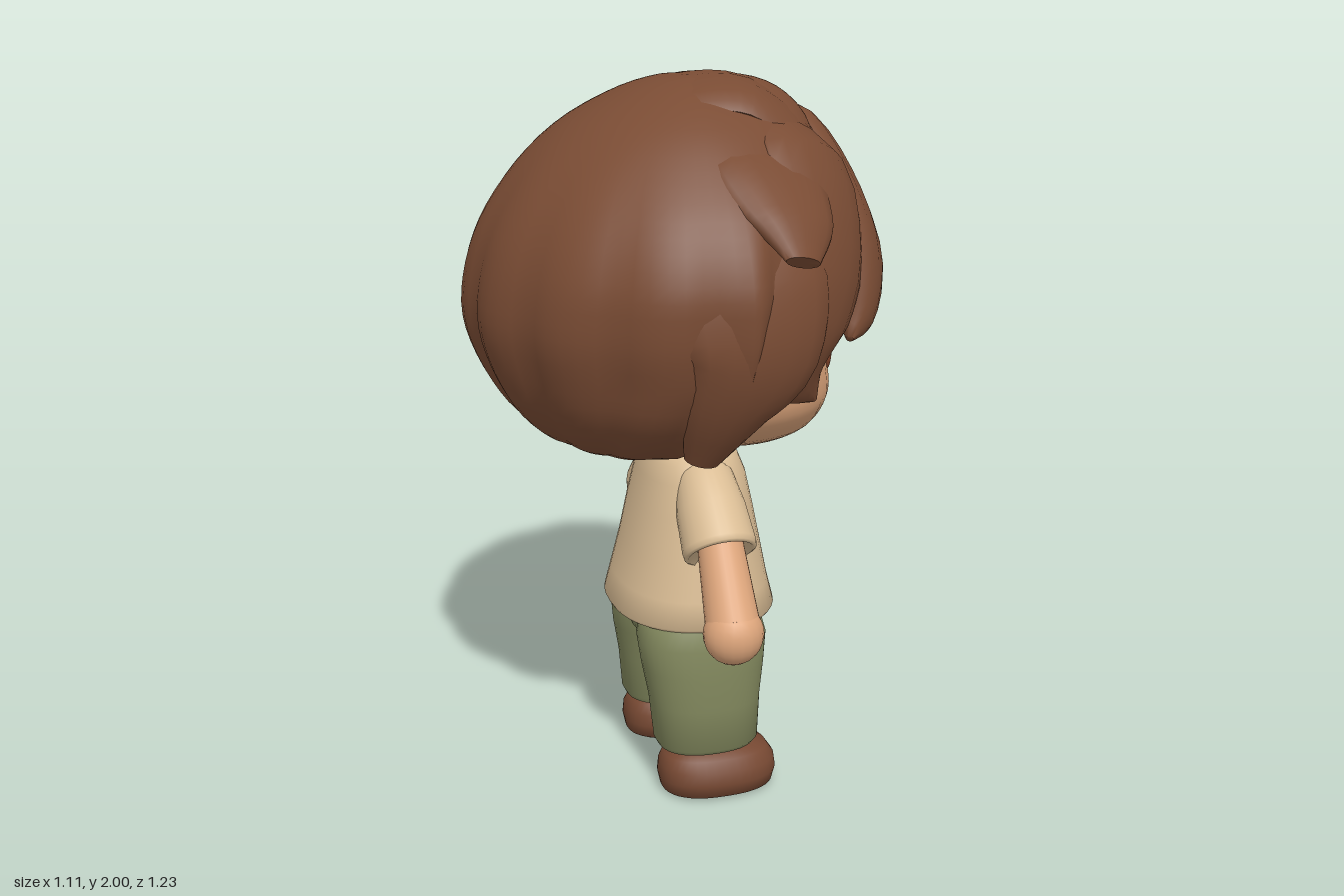
import * as THREE from 'three';
import { toCreasedNormals } from 'three/addons/utils/BufferGeometryUtils.js';

const mat = (name, color) => {
  const m = new THREE.MeshStandardMaterial({ color });
  m.name = name;
  return m;
};
const V = (x, y, z) => new THREE.Vector3(x, y, z);

// Closed skin over rings of points, each ring capped with a centre vertex at the ends
function skinRings(rings) {
  const n = rings[0].length, pos = [], idx = [];
  rings.forEach(r => r.forEach(p => pos.push(p.x, p.y, p.z)));
  for (let j = 0; j < rings.length - 1; j++) for (let i = 0; i < n; i++) {
    const a = j * n + i, b = j * n + (i + 1) % n;
    idx.push(a, a + n, b, b, a + n, b + n);
  }
  const last = (rings.length - 1) * n;
  [rings[0], rings[rings.length - 1]].forEach((r, end) => {
    const c = r.reduce((s, p) => s.add(p), V(0, 0, 0)).divideScalar(n);
    const k = pos.length / 3;
    pos.push(c.x, c.y, c.z);
    for (let i = 0; i < n; i++) {
      const q = (i + 1) % n;
      if (end) idx.push(k, last + q, last + i);
      else idx.push(k, i, q);
    }
  });
  const g = new THREE.BufferGeometry();
  g.setAttribute('position', new THREE.Float32BufferAttribute(pos, 3));
  g.setIndex(idx);
  return toCreasedNormals(g, 1.0);
}

// Upright form from rows [y, back x, front x, half width, z centre].
// power squares the section, mid places its widest line
function upright(rows, { n = 40, power = 2, ripple = () => 1, mid = (x0, x1) => (x0 + x1) / 2 } = {}) {
  const sq = v => Math.sign(v) * Math.abs(v) ** (2 / power);
  return skinRings(rows.map(([y, x0, x1, rz, cz = 0]) => Array.from({ length: n }, (_, i) => {
    const a = i / n * Math.PI * 2, k = ripple(a, y), m = mid(x0, x1), c = Math.cos(a);
    return V(m + (c > 0 ? x1 - m : m - x0) * sq(c) * k, y, cz + rz * sq(Math.sin(a)) * k);
  })));
}

// Smoothly resample rows for rounder forms
function smoothRows(rows, steps) {
  const a = new THREE.CatmullRomCurve3(rows.map(r => V(r[0], r[1], r[2])));
  const b = new THREE.CatmullRomCurve3(rows.map(r => V(r[3], 0, 0)));
  return Array.from({ length: steps + 1 }, (_, i) => {
    const p = a.getPoint(i / steps);
    return [p.x, p.y, p.z, b.getPoint(i / steps).x];
  });
}

// Flattened lock of hair from stations [x, y, z, half width, half thickness]
function lock(stations) {
  const path = new THREE.CatmullRomCurve3(stations.map(s => V(s[0], s[1], s[2])));
  const size = new THREE.CatmullRomCurve3(stations.map(s => V(s[3], s[4], 0)));
  const rings = [];
  for (let j = 0; j <= 16; j++) {
    const u = j / 16, p = path.getPoint(u), t = path.getTangent(u), s = size.getPoint(u);
    const out = p.clone().sub(V(0, 1.45, 0));
    out.addScaledVector(t, -out.dot(t)).normalize();
    const side = out.clone().cross(t);
    rings.push(Array.from({ length: 16 }, (_, i) => {
      const a = i / 16 * Math.PI * 2;
      return p.clone().addScaledVector(out, Math.cos(a) * s.y).addScaledVector(side, Math.sin(a) * s.x);
    }));
  }
  return skinRings(rings);
}

export function createModel() {
  const root = new THREE.Group();
  const hair = mat('hair brown', 0x7a4c34), skin = mat('skin', 0xdea67c), cloth = mat('shirt beige', 0xdabd95);
  const green = mat('trouser green', 0x80865c), leather = mat('shoe brown', 0x764832), dark = mat('eye brown', 0x84462c);
  const add = (name, geo, m, parent = root) => {
    const o = new THREE.Mesh(geo, m);
    o.name = name;
    parent.add(o);
    return o;
  };
  const ball = (name, m, p, s) => {
    const o = add(name, new THREE.SphereGeometry(1, 20, 14), m);
    o.position.set(...p);
    o.scale.set(...s);
    return o;
  };

  // Head with a wide soft jaw
  add('head', upright(smoothRows([
    [1.0, .13, .22, .05], [1.01, .02, .32, .15], [1.04, -.1, .38, .25], [1.09, -.2, .42, .345], [1.16, -.24, .44, .405],
    [1.26, -.26, .425, .425], [1.4, -.28, .4, .41], [1.55, -.29, .38, .38], [1.7, -.24, .34, .3], [1.8, -.1, .1, .1]], 30)), skin);
  const neck = add('neck', new THREE.CylinderGeometry(.1, .12, .14, 24), skin);
  neck.position.set(.05, .97, 0);
  ball('nose', skin, [.437, 1.15, 0], [.014, .012, .02]);
  for (const s of [1, -1]) {
    ball('ear', skin, [.06, 1.2, s * .435], [.05, .07, .05]);
    ball('eye', dark, [.391, 1.27, s * .195], [.012, .052, .03]).rotation.y = -s * .4;
  }
  add('mouth', new THREE.TubeGeometry(new THREE.CatmullRomCurve3(
    [V(.437, 1.168, .05), V(.442, 1.16, .02), V(.442, 1.16, -.02), V(.437, 1.168, -.05)]), 12, .003, 6), dark);

  // Hair: rippled cap that hangs to the nape, then overlapping locks
  const hairGroup = new THREE.Group();
  hairGroup.name = 'hair';
  root.add(hairGroup);
  const ripple = (a, y) => 1 + (Math.abs(Math.sin(a * 7 + .5)) - .6) * .045 * Math.min(1, Math.max(0, (1.85 - y) / .5));
  const mid = (x0, x1) => Math.min(Math.max(.03, x0 + .03), x1 - .06);
  add('hairCap', upright(smoothRows([
    [1.03, -.28, -.13, .2], [1.06, -.36, -.04, .36], [1.12, -.43, .01, .45], [1.2, -.485, .04, .52], [1.3, -.53, .1, .57],
    [1.4, -.55, .2, .595], [1.5, -.54, .26, .6], [1.6, -.51, .29, .575], [1.7, -.455, .34, .52], [1.8, -.375, .38, .43],
    [1.88, -.28, .37, .34], [1.95, -.15, .31, .22], [1.985, -.05, .23, .11], [1.995, .03, .13, .04]], 36),
    { n: 84, power: 1.95, ripple, mid }), hair, hairGroup);
  const locks = {
    sweptFringe: [[.24, 1.92, -.13, .05, .03], [.38, 1.8, -.05, .17, .08], [.445, 1.66, .08, .19, .075], [.455, 1.52, .22, .16, .07], [.41, 1.4, .33, .08, .05], [.37, 1.35, .39, .01, .01]],
    middleFringe: [[.26, 1.92, -.15, .03, .03], [.4, 1.78, -.12, .1, .07], [.465, 1.62, -.04, .13, .06], [.45, 1.48, .04, .09, .05], [.43, 1.37, .11, .01, .01]],
    rightFringe: [[.2, 1.92, -.19, .03, .03], [.29, 1.8, -.27, .1, .06], [.33, 1.63, -.35, .13, .055], [.33, 1.47, -.42, .1, .045], [.32, 1.35, -.46, .02, .02]],
    leftTemple: [[.2, 1.9, .08, .06, .03], [.27, 1.78, .27, .18, .08], [.25, 1.58, .4, .19, .08], [.2, 1.4, .45, .17, .07], [.21, 1.28, .43, .1, .045], [.27, 1.2, .4, .01, .01]],
    leftCurl: [[.1, 1.88, .2, .08, .03], [.14, 1.78, .375, .16, .045], [.16, 1.68, .49, .13, .045], [.16, 1.6, .58, .05, .02]],
    leftSide: [[.02, 1.7, .42, .12, .03], [.05, 1.53, .5, .22, .07], [.05, 1.36, .53, .19, .06], [.0, 1.22, .49, .12, .055], [-.04, 1.07, .42, .05, .03]],
    rightTop: [[.1, 1.9, -.14, .08, .03], [.13, 1.79, -.35, .17, .055], [.13, 1.66, -.49, .16, .055], [.12, 1.53, -.57, .1, .04], [.1, 1.49, -.61, .02, .015]],
    rightTemple: [[.2, 1.75, -.34, .08, .03], [.22, 1.58, -.43, .15, .06], [.2, 1.4, -.47, .12, .05], [.2, 1.25, -.44, .02, .02]],
    rightSide: [[.02, 1.7, -.43, .12, .03], [.04, 1.5, -.52, .19, .06], [.03, 1.34, -.53, .17, .06], [-.01, 1.2, -.49, .12, .055], [-.04, 1.07, -.42, .05, .03]],
    crown: [[-.16, 1.88, .04, .12, .04], [.02, 1.94, .04, .2, .05], [.18, 1.925, .06, .22, .065], [.31, 1.83, .1, .2, .06], [.38, 1.72, .14, .08, .03]],
  };
  for (const [name, stations] of Object.entries(locks)) add(name, lock(stations), hair, hairGroup);

  // Flared shirt with a rolled hem
  add('shirt', upright([[.54, -.14, .26, .25], [.515, -.17, .29, .272], [.525, -.175, .295, .282], [.6, -.155, .275, .27],
    [.7, -.13, .255, .248], [.82, -.105, .23, .228], [.91, -.085, .21, .205], [.96, -.075, .19, .182], [.99, -.06, .17, .155],
    [1.005, -.04, .14, .12]], { power: 2.2 }), cloth);

  // Arms and sleeves slope outward on both sides
  const between = (o, a, b) => {
    o.position.copy(a).lerp(b, .5);
    o.quaternion.setFromUnitVectors(V(0, 1, 0), a.clone().sub(b).normalize());
  };
  for (const s of [1, -1]) {
    const sleeve = new THREE.LatheGeometry([[0, -.115], [.07, -.115], [.09, -.13], [.1, -.125], [.102, -.11], [.096, 0], [.08, .1],
      [.05, .135], [0, .145]].map(p => new THREE.Vector2(...p)), 28);
    between(add('sleeve', sleeve, cloth), V(.06, .9, s * .155), V(.06, .795, s * .25));
    between(add('arm', new THREE.CylinderGeometry(.06, .074, .27, 24), skin), V(.06, .81, s * .265), V(.06, .6, s * .385));
    ball('hand', skin, [.06, .565, s * .4], [.083, .085, .078]);
  }

  // Trousers: narrow seat between two wide legs with turned-in hems
  add('trouserSeat', upright([[.37, .02, .1, .03], [.4, -.06, .17, .08], [.44, -.105, .215, .16], [.48, -.122, .232, .2],
    [.53, -.115, .225, .19]], { power: 2.4 }), green);
  for (const s of [1, -1]) {
    add('trouserLeg', upright([[.15, -.06, .18, .09, s * .165], [.14, -.08, .2, .112, s * .165], [.155, -.088, .208, .121, s * .168],
      [.28, -.1, .215, .13, s * .16], [.38, -.118, .228, .14, s * .15], [.46, -.128, .238, .142, s * .138],
      [.51, -.115, .225, .138, s * .132], [.535, -.09, .2, .13, s * .125]], { power: 2.4 }), green);
    const ankle = add('ankle', new THREE.CylinderGeometry(.07, .07, .1, 20), skin);
    ankle.position.set(.06, .13, s * .17);
    // Chunky shoe with a flat sole
    add('shoe', upright([[.002, -.06, .235, .095, s * .185], [.012, -.075, .25, .112, s * .185], [.05, -.083, .26, .119, s * .185],
      [.085, -.08, .255, .114, s * .185], [.115, -.068, .235, .095, s * .182], [.135, -.04, .18, .065, s * .178]], { power: 2.4 }), leather);
  }
  return root;
}
